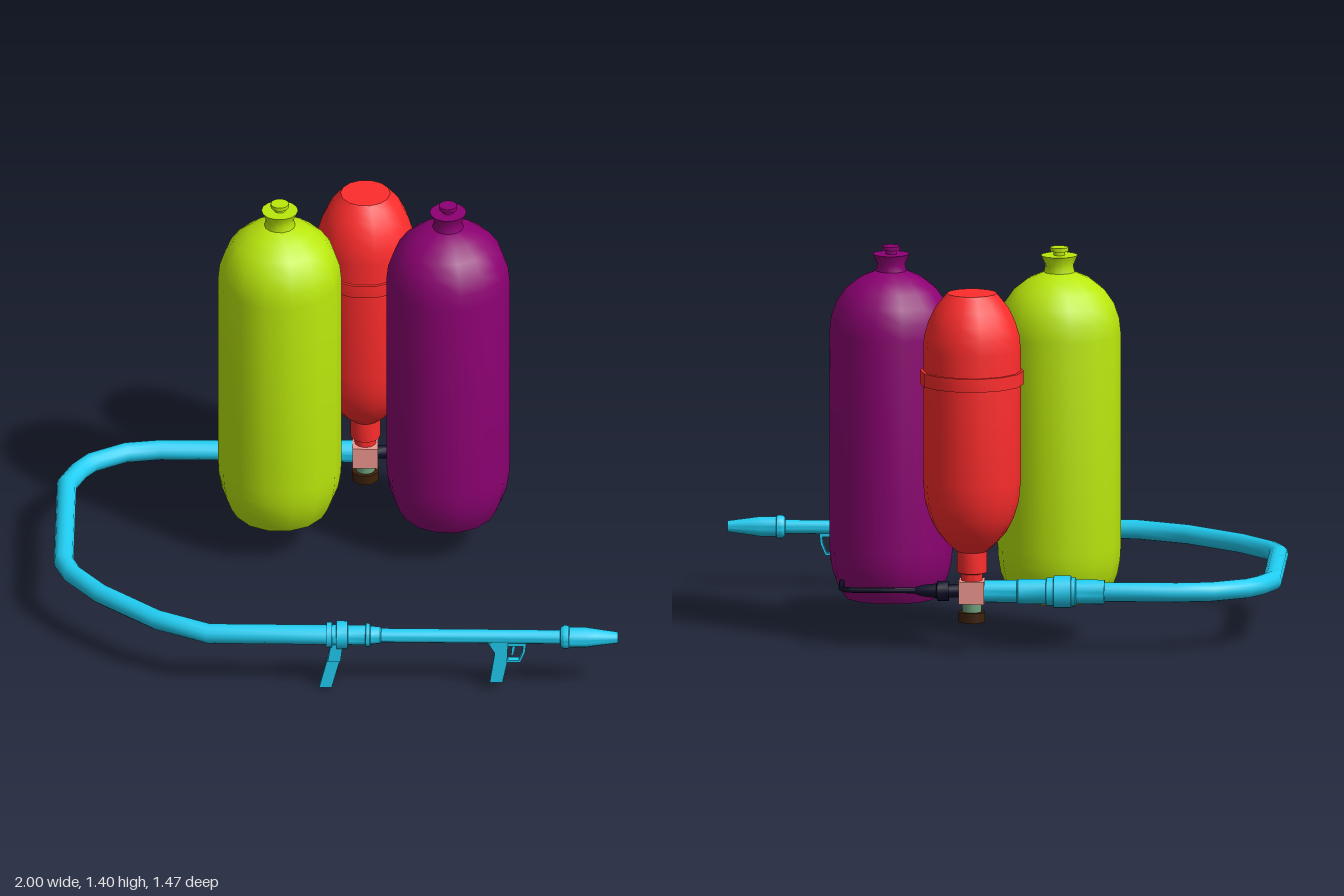
import * as THREE from 'three';
import { toCreasedNormals } from 'three/addons/utils/BufferGeometryUtils.js';

const COLORS = {
  lime: 0xbae80c, purple: 0x8c0072, red: 0xff2c2c, cyan: 0x20cdf2,
  dark: 0x10102c, pink: 0xf09890, sage: 0x6f9f7c, brown: 0x3c2008,
};
const HOSE_Y = 0.211, BACK_Z = -0.557, GUN_Z = 0.685, VALVE_X = 0.084;

export function createModel() {
  const model = new THREE.Group();
  model.name = 'backpackTanksWithHose';
  const mats = {};
  for (const [k, color] of Object.entries(COLORS)) mats[k] = new THREE.MeshStandardMaterial({ color });

  function add(name, geometry, mat, x = 0, y = 0, z = 0, parent = model) {
    const mesh = new THREE.Mesh(geometry, mats[mat]);
    mesh.name = name;
    mesh.position.set(x, y, z);
    parent.add(mesh);
    return mesh;
  }

  // Turned part: pairs of [radius, height], from bottom to top, with corners on the x axis
  function turned(profile, sides) {
    const pts = profile.map(([r, h]) => new THREE.Vector2(r, h));
    return toCreasedNormals(new THREE.LatheGeometry(pts, sides, Math.PI / 2), 0.7);
  }
  // Turned part lying along x: pairs of [radius, x]
  const turnedX = (profile, sides = 14) => turned(profile, sides).rotateZ(-Math.PI / 2);

  // Round pipe through level [x, z] points, with mitred corners
  function pipe(points, radius, sides) {
    const pos = [], index = [];
    const p = points.map(([x, z]) => new THREE.Vector2(x, z));
    p.forEach((c, i) => {
      const before = c.clone().sub(p[Math.max(i - 1, 0)]).normalize();
      const after = p[Math.min(i + 1, p.length - 1)].clone().sub(c).normalize();
      const dir = before.clone().add(after).normalize();
      const miter = 1 / dir.dot(i ? before : after);
      for (let j = 0; j < sides; j++) {
        const a = (j / sides) * Math.PI * 2;
        const s = Math.cos(a) * radius * miter;
        pos.push(c.x - dir.y * s, Math.sin(a) * radius, c.y + dir.x * s);
        if (i === 0) continue;
        const k = (j + 1) % sides, lo = (i - 1) * sides, hi = i * sides;
        index.push(lo + j, hi + j, lo + k, hi + j, hi + k, lo + k);
      }
    });
    // End caps
    const last = (p.length - 1) * sides;
    for (let j = 1; j < sides - 1; j++) {
      index.push(0, j, j + 1, last, last + j + 1, last + j);
    }
    const g = new THREE.BufferGeometry();
    g.setAttribute('position', new THREE.Float32BufferAttribute(pos, 3));
    g.setIndex(index);
    return toCreasedNormals(g, 0.8);
  }

  // Flat outline in x/y, extruded evenly about z = 0
  function plate(outline, depth, hole) {
    const shape = new THREE.Shape(outline.map(([x, y]) => new THREE.Vector2(x, y)));
    if (hole) shape.holes.push(new THREE.Path(hole.map(([x, y]) => new THREE.Vector2(x, y))));
    return new THREE.ExtrudeGeometry(shape, { depth, bevelEnabled: false }).translate(0, 0, -depth / 2);
  }

  // Pair of large tanks with a valve knob on top
  const tankGeo = turned([
    [0, 0.142], [0.165, 0.142], [0.187, 0.18], [0.206, 0.23], [0.215, 0.28], [0.218, 0.33],
    [0.218, 1.09], [0.212, 1.145], [0.193, 1.2], [0.16, 1.247], [0.112, 1.285], [0.05, 1.312], [0, 1.315],
  ], 14);
  const knobGeo = turned([
    [0.056, 1.305], [0.05, 1.33], [0.05, 1.335], [0.065, 1.37], [0.02, 1.37], [0.02, 1.382],
    [0.032, 1.384], [0.032, 1.398], [0, 1.398],
  ], 14);
  for (const [side, x, mat] of [['right', -0.213, 'lime'], ['left', 0.381, 'purple']]) {
    const tank = new THREE.Group();
    tank.name = side + 'Tank';
    tank.position.set(x, 0, -0.287);
    add(side + 'TankBody', tankGeo, mat, 0, 0, 0, tank);
    add(side + 'TankKnob', knobGeo, mat, 0, 0, 0, tank);
    model.add(tank);
  }

  // Smaller rear bottle, hanging neck down, with its band
  add('rearBottle', turned([
    [0, 0.24], [0.038, 0.24], [0.038, 0.275], [0.053, 0.28], [0.053, 0.355], [0.088, 0.385],
    [0.122, 0.425], [0.148, 0.475], [0.166, 0.535], [0.173, 0.61], [0.173, 1.08], [0.168, 1.13],
    [0.153, 1.18], [0.13, 1.228], [0.108, 1.256], [0.088, 1.28], [0, 1.28],
  ], 14), 'red', VALVE_X, 0, BACK_Z);
  add('bottleBand', turned([[0.17, 0.955], [0.183, 0.955], [0.183, 1.003], [0.17, 1.003]], 14),
    'red', VALVE_X, 0, BACK_Z);

  // Valve under the bottle
  add('valveBlock', new THREE.BoxGeometry(0.09, 0.08, 0.1), 'pink', VALVE_X, HOSE_Y, BACK_Z);
  add('valveStem', new THREE.CylinderGeometry(0.034, 0.034, 0.06, 12), 'sage', VALVE_X, 0.155, BACK_Z);
  const cap = add('valveCap', new THREE.CylinderGeometry(0.05, 0.05, 0.036, 8), 'brown', VALVE_X, 0.12, BACK_Z);
  cap.rotation.y = Math.PI / 8;

  // Thin dark feed line from the valve to the left tank
  add('feedConnector', turnedX([
    [0, 0.12], [0.024, 0.12], [0.024, 0.165], [0.036, 0.165], [0.036, 0.205], [0.026, 0.21],
    [0.021, 0.255], [0.012, 0.285], [0, 0.285],
  ], 12), 'dark', 0, HOSE_Y, BACK_Z);
  add('feedLine', pipe([
    [0.26, -0.556], [0.505, -0.554], [0.53, -0.547], [0.546, -0.525], [0.55, -0.4],
  ], 0.01, 8), 'dark', 0, HOSE_Y, 0);

  // Rear hose coupling
  add('rearCoupling', turnedX([
    [0, -0.385], [0.044, -0.385], [0.044, -0.285], [0.052, -0.282], [0.052, -0.268],
    [0.058, -0.266], [0.058, -0.206], [0.05, -0.204], [0.05, -0.18], [0.045, -0.178],
    [0.045, -0.08], [0.04, -0.075], [0.04, 0.045], [0, 0.045],
  ]), 'cyan', 0, HOSE_Y, BACK_Z);

  // Main hose
  add('hose', pipe([
    [-0.37, BACK_Z], [-0.64, -0.555], [-0.76, -0.535], [-0.88, -0.465], [-0.925, -0.405],
    [-0.966, -0.31], [-0.966, 0.21], [-0.935, 0.29], [-0.83, 0.425], [-0.63, 0.595],
    [-0.445, GUN_Z], [0, GUN_Z],
  ], 0.035, 12), 'cyan', 0, HOSE_Y, 0);

  // Hose lance: coupling, barrel and nozzle with a hollow mouth
  const gun = new THREE.Group();
  gun.name = 'lance';
  gun.position.set(0, HOSE_Y, GUN_Z);
  model.add(gun);
  add('lanceCoupling', turnedX([
    [0, -0.03], [0.045, -0.03], [0.045, -0.01], [0.037, -0.009], [0.037, 0.005], [0.05, 0.006],
    [0.05, 0.045], [0.036, 0.047], [0.036, 0.108], [0.042, 0.11], [0.042, 0.124], [0.033, 0.126],
    [0.03, 0.16], [0.024, 0.165], [0, 0.165],
  ]), 'cyan', 0, 0, 0, gun);
  add('lanceBarrel', turnedX([[0.025, 0.15], [0.025, 0.81]]), 'cyan', 0, 0, 0, gun);
  add('nozzle', turnedX([
    [0.02, 0.795], [0.034, 0.797], [0.042, 0.808], [0.042, 0.826], [0.036, 0.828], [0.036, 0.885],
    [0.031, 0.92], [0.02, 1], [0.014, 1], [0.014, 0.96], [0, 0.96],
  ]), 'cyan', 0, 0, 0, gun);

  // Rear grip: broad collar mount and thinner handle
  add('rearGripMount', plate([
    [-0.025, -0.1], [0.02, -0.1], [0.03, -0.02], [-0.012, -0.02],
  ], 0.04), 'cyan', 0, 0, 0, gun);
  add('rearGrip', plate([
    [-0.055, -0.211], [-0.011, -0.211], [0.02, -0.09], [-0.025, -0.09],
  ], 0.026), 'cyan', 0, 0, 0, gun);

  // Front grip with trigger guard
  add('frontGrip', plate([
    [0.547, -0.18], [0.592, -0.18], [0.608, -0.1], [0.612, -0.015], [0.54, -0.015], [0.565, -0.06],
  ], 0.036), 'cyan', 0, 0, 0, gun);
  add('triggerGuard', plate([
    [0.597, -0.1], [0.655, -0.1], [0.672, -0.06], [0.677, -0.015], [0.597, -0.015],
  ], 0.024, [[0.611, -0.092], [0.611, -0.034], [0.665, -0.034], [0.662, -0.06], [0.65, -0.092]]),
  'cyan', 0, 0, 0, gun);
  add('trigger', plate([
    [0.622, -0.075], [0.63, -0.075], [0.64, -0.03], [0.626, -0.03],
  ], 0.012), 'cyan', 0, 0, 0, gun);

  return model;
}
